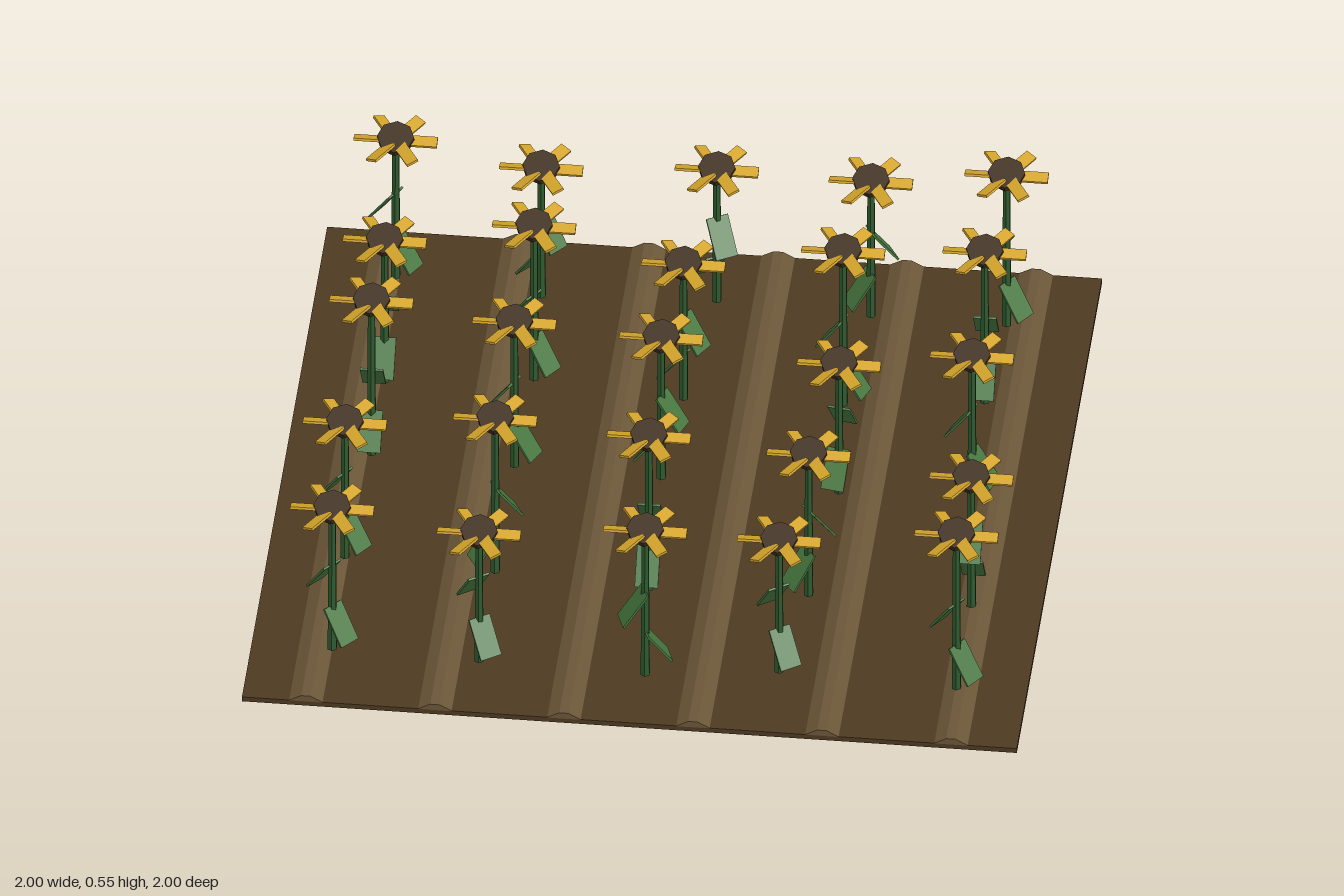
import * as THREE from 'three';

const mat = (name, color, extra = {}) => {
  const m = new THREE.MeshStandardMaterial({ color, flatShading: true, ...extra });
  m.name = name;
  return m;
};

// x, z, head height, upper leaf direction in degrees (0 = +x, 90 = +z)
const PLANTS = [
  [-0.8, -0.79, 0.47, 210], [-0.42, -0.75, 0.44, 40], [0.03, -0.78, 0.45, 60], [0.43, -0.76, 0.46, 330], [0.78, -0.76, 0.51, 215],
  [-0.78, -0.35, 0.48, 270], [-0.4, -0.4, 0.52, 215], [-0.01, -0.36, 0.46, 30], [0.4, -0.38, 0.52, 200], [0.76, -0.43, 0.51, 270],
  [-0.78, -0.04, 0.52, 270], [-0.41, -0.03, 0.49, 205], [-0.03, -0.02, 0.48, 20], [0.43, -0.01, 0.44, 280], [0.77, -0.04, 0.47, 200],
  [-0.8, 0.4, 0.46, 215], [-0.41, 0.42, 0.52, 330], [-0.01, 0.45, 0.52, 270], [0.4, 0.43, 0.48, 320], [0.82, 0.43, 0.44, 90],
  [-0.79, 0.79, 0.48, 220], [-0.41, 0.8, 0.44, 235], [0.02, 0.81, 0.49, 160], [0.36, 0.76, 0.45, 235], [0.82, 0.78, 0.52, 215],
];

export function createModel() {
  const soil = mat('soil brown', 0x4d3a22);
  const ridgeMat = mat('ridge brown', 0x6b5638);
  const stemMat = mat('stem green', 0x2f5a2f);
  const leafMat = mat('leaf green', 0x47773f);
  const petalMat = mat('petal gold', 0xd6a62c);
  const seedMat = mat('seed brown', 0x3f2c1a);

  const model = new THREE.Group();
  model.name = 'flowerField';
  const add = (parent, name, geo, material, x = 0, y = 0, z = 0) => {
    const mesh = new THREE.Mesh(geo, material);
    mesh.name = name;
    mesh.position.set(x, y, z);
    parent.add(mesh);
    return mesh;
  };

  // Soil slab
  add(model, 'soil', new THREE.BoxGeometry(2, 0.014, 2), soil, 0, 0.007, 0);

  // Furrow ridges with a trapezoid section
  const section = new THREE.Shape([[-0.045, 0], [0.045, 0], [0.012, 0.018], [-0.012, 0.018]]
    .map(([x, y]) => new THREE.Vector2(x, y)));
  const ridgeGeo = new THREE.ExtrudeGeometry(section, { depth: 2, bevelEnabled: false });
  for (let i = 0; i < 6; i++) {
    add(model, 'ridge', ridgeGeo, ridgeMat, -0.835 + i * 0.333, 0.013, -1);
  }

  // Shared plant geometry
  const leafGeo = new THREE.BoxGeometry(0.11, 0.006, 0.06).translate(0.055, 0, 0);
  const petalGeo = new THREE.BoxGeometry(0.085, 0.007, 0.032).translate(0.065, 0, 0);
  const seedGeo = new THREE.CylinderGeometry(0.048, 0.048, 0.016, 8);

  for (const [x, z, height, degrees] of PLANTS) {
    const plant = new THREE.Group();
    plant.name = 'flower';
    plant.position.set(x, 0, z);
    model.add(plant);

    // Stem
    const length = height - 0.03;
    add(plant, 'stem', new THREE.CylinderGeometry(0.01, 0.013, length, 6), stemMat, 0, 0.03 + length / 2, 0);

    // Two drooping leaves on opposite sides
    [[0.3, 0], [0.17, 180]].forEach(([y, turn]) => {
      const leaf = add(plant, 'leaf', leafGeo, leafMat, 0, y, 0);
      leaf.rotation.set(0, -THREE.MathUtils.degToRad(degrees + turn), -0.95);
    });

    // Flower head: six twisted petals around a tilted seed disc
    const head = new THREE.Group();
    head.name = 'flowerHead';
    head.position.y = height;
    plant.add(head);
    for (let i = 0; i < 6; i++) {
      const spoke = new THREE.Group();
      spoke.name = 'petalSpoke';
      spoke.rotation.y = i * Math.PI / 3;
      head.add(spoke);
      add(spoke, 'petal', petalGeo, petalMat).rotation.x = 0.3;
    }
    add(head, 'seedDisc', seedGeo, seedMat, 0, 0.005, 0).rotation.x = 0.35;
  }
  return model;
}
